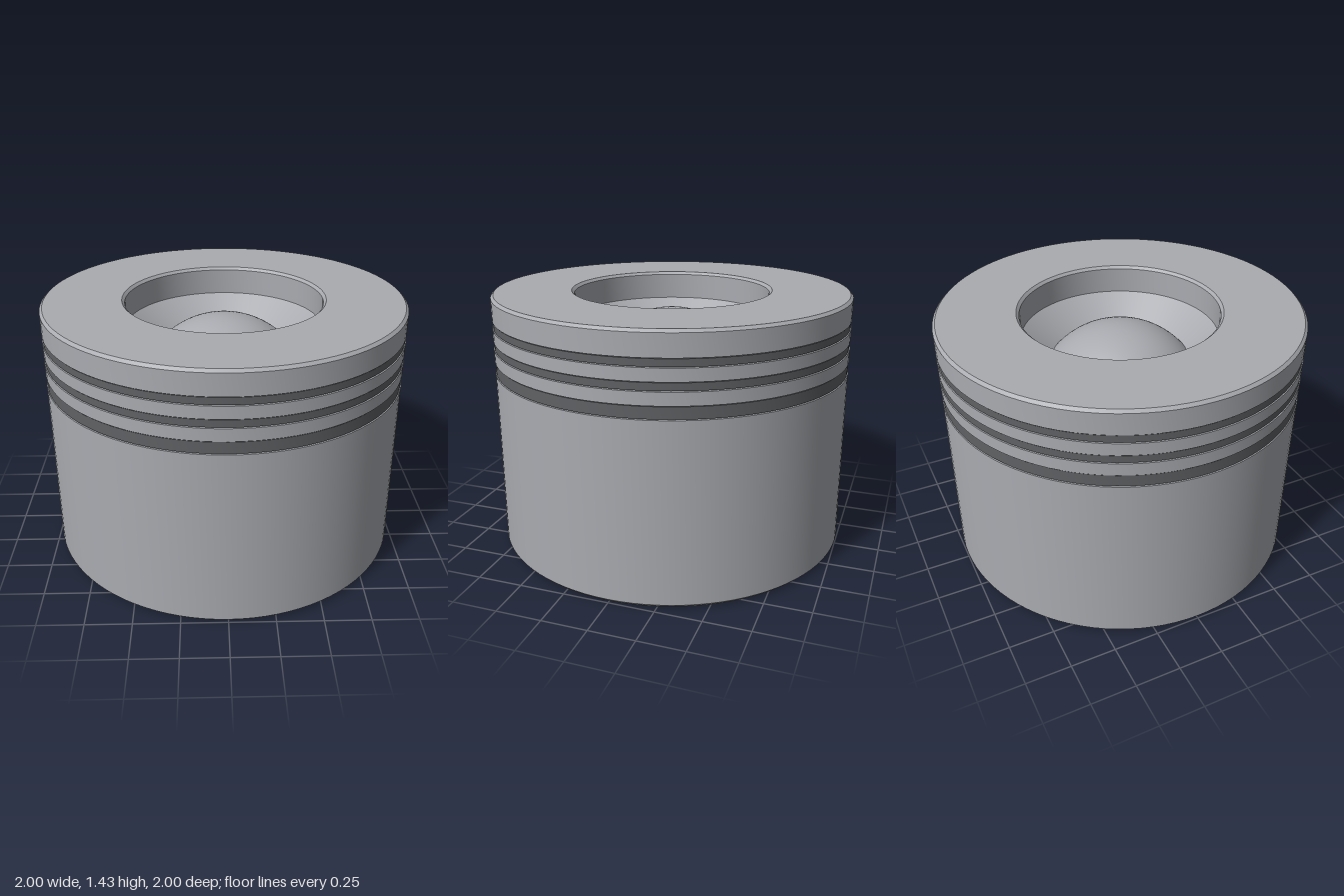
import * as THREE from 'three';
import { toCreasedNormals } from 'three/addons/utils/BufferGeometryUtils.js';

const SEG = 96;
const HEIGHT = 1.435;
const WALL = 0.81;                       // inner radius of the hollow skirt
const GROOVE_R = 0.93;
const GROOVES = [[1.005, 1.075], [1.143, 1.19], [1.257, 1.303]]; // bottom, top
const PIN = { y: 0.49, r: 0.355, bossR: 0.48, faceX: 0.287 };

// Revolve a list of [radius, y] points, keeping hard edges sharp
function revolve(points) {
  const geo = new THREE.LatheGeometry(points.map(([r, y]) => new THREE.Vector2(r, y)), SEG);
  return toCreasedNormals(geo, 0.4);
}

export function createModel() {
  const model = new THREE.Group();
  const steel = new THREE.MeshStandardMaterial({ color: 0xa9abb0 });
  const darkSteel = new THREE.MeshStandardMaterial({ color: 0x5f6164 });

  const add = (name, geo, mat, parent = model) => {
    const mesh = new THREE.Mesh(geo, mat);
    mesh.name = name;
    parent.add(mesh);
    return mesh;
  };

  // Body: hollow skirt, ring grooves, crown and combustion bowl in one profile
  const profile = [[0, 1.0], [WALL, 1.0], [WALL, 0], [0.98, 0], [1, 0.02]];
  for (const [y0, y1] of GROOVES) {
    profile.push([1, y0], [GROOVE_R, y0], [GROOVE_R, y1], [1, y1]);
  }
  profile.push([1, HEIGHT - 0.015], [0.985, HEIGHT], [0.56, HEIGHT], [0.545, HEIGHT - 0.015], [0.545, 1.275]);

  // Dome in the middle of the bowl
  const domeR = 0.5, baseR = 0.38, baseY = 1.145;
  const baseAngle = Math.asin(baseR / domeR);
  const domeCentre = baseY - domeR * Math.cos(baseAngle);
  for (let i = 0; i <= 12; i++) {
    const a = baseAngle * (1 - i / 12);
    profile.push([domeR * Math.sin(a), domeCentre + domeR * Math.cos(a)]);
  }
  add('pistonBody', revolve(profile), steel);

  // Rings sit in the grooves with a hairline gap above and below
  const rings = new THREE.Group();
  rings.name = 'pistonRings';
  model.add(rings);
  GROOVES.forEach(([y0, y1], i) => {
    const a = y0 + 0.004, b = y1 - 0.004, out = 0.996;
    add('ring' + (i + 1), revolve([[GROOVE_R, a], [out, a], [out, b], [GROOVE_R, b]]), darkSteel, rings);
  });

  // Wrist pin across the hollow
  const pinGeo = new THREE.CylinderGeometry(PIN.r, PIN.r, PIN.faceX * 2, 64, 1, true);
  pinGeo.rotateZ(Math.PI / 2);
  add('wristPin', pinGeo, steel).position.y = PIN.y;

  // Pin bosses: outer ends follow the curved skirt wall
  for (const side of [1, -1]) {
    const boss = new THREE.Group();
    boss.name = side > 0 ? 'leftBoss' : 'rightBoss';
    boss.position.y = PIN.y;
    boss.rotation.y = side > 0 ? 0 : Math.PI;
    model.add(boss);

    const tube = new THREE.CylinderGeometry(PIN.bossR, PIN.bossR, 1, 64, 1, true);
    tube.rotateZ(Math.PI / 2);
    const p = tube.attributes.position;
    for (let i = 0; i < p.count; i++) {
      const z = p.getZ(i);
      p.setX(i, p.getX(i) > 0 ? Math.sqrt(WALL * WALL - z * z) + 0.002 : PIN.faceX);
    }
    add('bossBarrel', tube, steel, boss);

    const face = new THREE.RingGeometry(PIN.r, PIN.bossR, 64);
    face.rotateY(-Math.PI / 2);
    add('bossFace', face, steel, boss).position.x = PIN.faceX;
  }
  return model;
}
